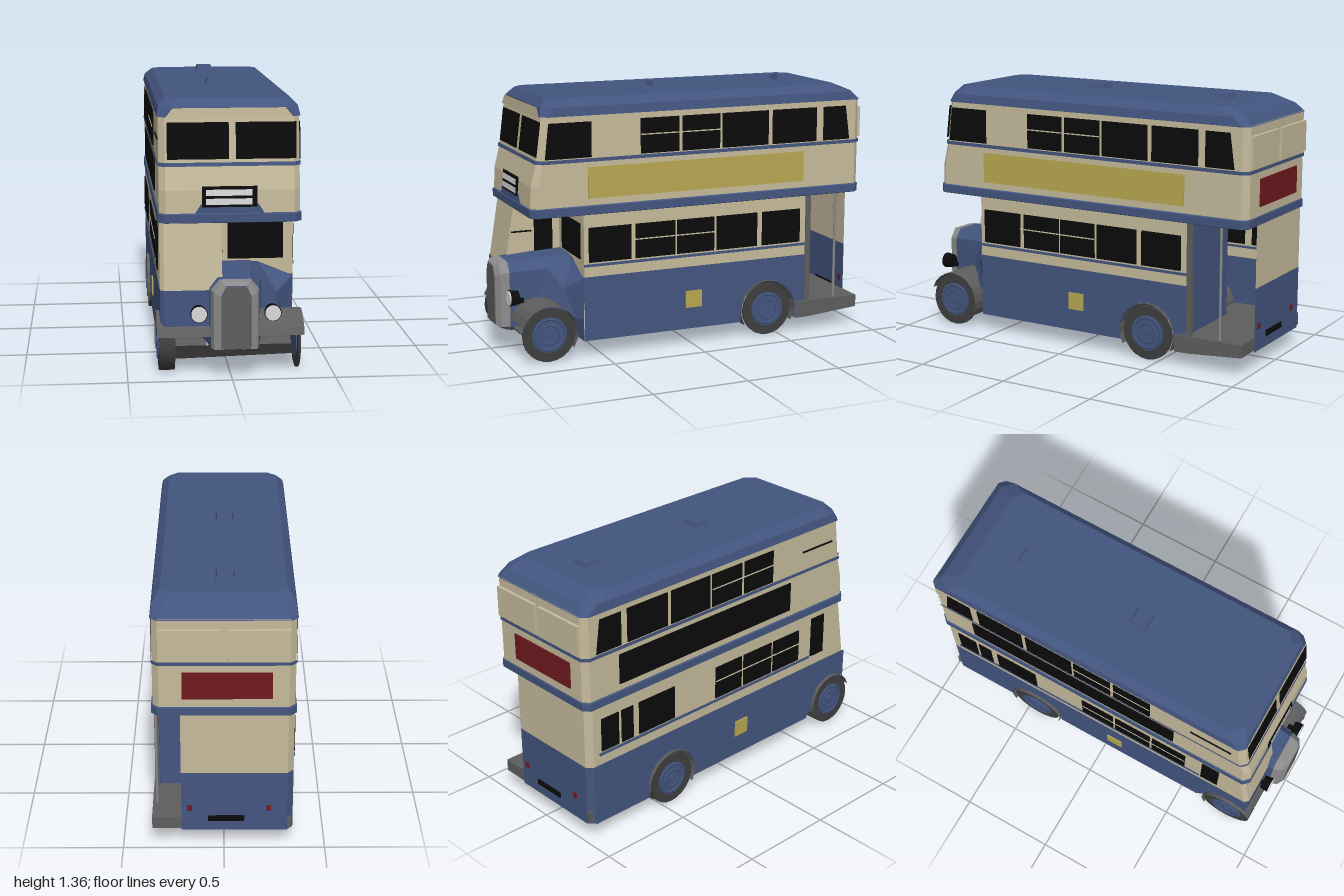
import * as THREE from 'three';

const mat = (name, color) => {
  const m = new THREE.MeshStandardMaterial({ color, side: THREE.DoubleSide });
  m.name = name;
  return m;
};

export function createModel() {
  const blue = mat('blue paint', 0x43557f), cream = mat('cream paint', 0xc6bb9c);
  const black = mat('black glass', 0x0b0b0b), grey = mat('mudguard grey', 0x5e5e5e);
  const tyreGrey = mat('tyre rubber', 0x3e3e3e), steel = mat('steel grey', 0x8c8c8c);
  const white = mat('lamp white', 0xdadada), yellow = mat('yellow panel', 0xb8a852);
  const red = mat('red panel', 0x701a1e);

  const bus = new THREE.Group();
  bus.name = 'doubleDeckBus';
  const add = (name, geo, m, x = 0, y = 0, z = 0) => {
    const mesh = new THREE.Mesh(geo, m);
    mesh.name = name;
    mesh.position.set(x, y, z);
    bus.add(mesh);
    return mesh;
  };
  const box = (name, m, x0, x1, y0, y1, z0, z1) => add(name,
    new THREE.BoxGeometry(x1 - x0, y1 - y0, Math.abs(z1 - z0)), m, (x0 + x1) / 2, (y0 + y1) / 2, (z0 + z1) / 2);

  // Flat-faced skin through rings of [x, y, z] points
  const loft = (name, m, rings, closed = false, cap = false) => {
    const pos = [], n = rings[0].length;
    for (let r = 0; r + 1 < rings.length; r++) {
      for (let i = 0; i < (closed ? n : n - 1); i++) {
        const j = (i + 1) % n, a = rings[r][i], b = rings[r][j], c = rings[r + 1][j], d = rings[r + 1][i];
        pos.push(...a, ...b, ...c, ...a, ...c, ...d);
      }
    }
    const top = rings[rings.length - 1];
    if (cap) for (let i = 1; i + 1 < n; i++) pos.push(...top[0], ...top[i], ...top[i + 1]);
    const g = new THREE.BufferGeometry();
    g.setAttribute('position', new THREE.Float32BufferAttribute(pos, 3));
    g.computeVertexNormals();
    return add(name, g, m);
  };

  // Flat panel at a given x, drawn as a shape in (z, y)
  const sidePanel = (name, m, x, shape) => {
    const g = new THREE.ShapeGeometry(shape, 12), p = g.attributes.position;
    for (let i = 0; i < p.count; i++) p.setXYZ(i, x, p.getY(i), p.getX(i));
    g.computeVertexNormals();
    return add(name, g, m);
  };
  const poly = (pts) => new THREE.Shape(pts.map(([a, b]) => new THREE.Vector2(a, b)));
  const W = 0.34;
  const plate = (name, m, side, z0, z1, y0, y1) =>
    box(name, m, side * (W + 0.002) - 0.004, side * (W + 0.002) + 0.004, y0, y1, z0, z1);

  // ---- Upper deck and roof ----
  const ring = (y, w, zf, zb, c = 0.03) => [
    [w, y, zf - c], [w - c, y, zf], [-w + c, y, zf], [-w, y, zf - c],
    [-w, y, zb + c], [-w + c, y, zb], [w - c, y, zb], [w, y, zb + c]];
  loft('upperFloor', cream, [ring(0.744, W, 0.86, -0.975), ring(0.745, W, 0.86, -0.975)], true, true);
  loft('waistBand', blue, [ring(0.742, 0.342, 0.868, -0.98), ring(0.745, 0.347, 0.876, -0.987),
    ring(0.785, 0.347, 0.876, -0.987), ring(0.79, W, 0.87, -0.983)], true);
  const profile = [[0.79, 0.87], [0.9, 0.865], [1.02, 0.835], [1.25, 0.805]];
  loft('upperWalls', cream, profile.map(([y, zf]) => ring(y, W, zf, -0.983)), true);
  loft('windowSillBand', blue, [ring(1.012, W + 0.005, 0.843, -0.987), ring(1.03, W + 0.005, 0.839, -0.987)], true);
  loft('roof', blue, [ring(1.22, 0.342, 0.805, -0.986), ring(1.245, 0.346, 0.812, -0.986),
    ring(1.29, 0.338, 0.8, -0.945, 0.05), ring(1.33, 0.3, 0.765, -0.85, 0.05)].slice(1), true, true);
  for (const z of [0.055, -0.68]) {
    const g = new THREE.CylinderGeometry(0.055, 0.068, 0.03, 4).toNonIndexed();
    g.rotateY(Math.PI / 4);
    g.computeVertexNormals();
    add('roofVent', g, blue, -0.007, 1.342, z);
  }

  // Panels that follow the sloping front
  const frontZ = (y) => {
    for (let i = 0; i < 3; i++) {
      const [ya, za] = profile[i], [yb, zb] = profile[i + 1];
      if (y <= yb) return za + (zb - za) * (y - ya) / (yb - ya);
    }
    return 0.803;
  };
  const frontPanel = (name, m, x0, x1, y0, y1, lift = 0.004, inset = 0) => loft(name, m, [
    [[x0, y0, frontZ(y0) + lift], [x1, y0, frontZ(y0) + lift]],
    [[x0 + inset, y1, frontZ(y1) + lift], [x1 - inset, y1, frontZ(y1) + lift]]]);
  frontPanel('upperFrontWindow', black, -0.3, -0.003, 1.045, 1.22);
  frontPanel('upperFrontWindow', black, 0.03, 0.322, 1.045, 1.22);
  frontPanel('frontBrow', cream, -0.31, 0.31, 1.24, 1.288, 0.01, 0.04);
  frontPanel('destinationSurround', blue, -0.17, 0.165, 0.79, 0.835, 0.005, 0.03);
  frontPanel('destinationBox', black, -0.135, 0.13, 0.82, 0.92, 0.009);
  for (const y of [0.832, 0.875]) frontPanel('destinationBlind', white, -0.118, 0.106, y, y + 0.03, 0.013);

  // ---- Side windows and panels ----
  const upper = [[0.29, 0.08], [0.06, -0.15], [-0.165, -0.43], [-0.455, -0.715]];
  for (const s of [1, -1]) {
    for (const [a, b] of upper) plate('upperWindow', black, s, a, b, 1.035, 1.215);
    sidePanel('upperRearWindow', black, s * (W + 0.005), poly([[-0.755, 1.035], [-0.915, 1.035], [-0.89, 1.215], [-0.755, 1.215]]));
    box('windowBar', cream, s * 0.347 - 0.002, s * 0.347 + 0.002, 1.13, 1.136, 0.29, -0.15);
    plate('sillBand', blue, s, 0.6, s > 0 ? -0.66 : -0.91, 0.473, 0.486);
  }
  sidePanel('upperFrontSideWindow', black, W + 0.005, poly([[0.555, 1.035], [0.8, 1.035], [0.78, 1.215], [0.555, 1.215]]));
  plate('cabVentLine', black, -1, 0.52, 0.75, 1.13, 1.138);
  for (const [a, b] of [[0.575, 0.345], [0.32, 0.1], [0.09, -0.12], [-0.135, -0.37], [-0.4, -0.625]])
    plate('lowerWindow', black, 1, a, b, 0.495, 0.675);
  for (const [a, b] of [[0.51, 0.31], [0.295, 0.085], [0.07, -0.12], [-0.41, -0.65], [-0.69, -0.765], [-0.785, -0.895]])
    plate('lowerWindow', black, -1, a, b, 0.495, 0.675);
  box('windowBar', cream, 0.345, 0.349, 0.592, 0.598, 0.345, -0.12);
  box('windowBar', cream, -0.349, -0.345, 0.592, 0.598, 0.51, -0.12);
  plate('sideBoard', yellow, 1, 0.575, -0.64, 0.825, 0.985);
  plate('sideBoard', black, -1, 0.43, -0.77, 0.825, 0.985);
  plate('fillerPanel', yellow, 1, 0.04, -0.05, 0.2, 0.29);
  plate('fillerPanel', yellow, -1, 0.12, 0.03, 0.2, 0.29);

  // ---- Lower deck walls, with wheel arches cut out ----
  const wallShape = (rear, cab) => {
    const s = new THREE.Shape();
    s.moveTo(rear, 0.085);
    s.lineTo(-0.59, 0.085);
    s.absarc(-0.435, 0.14, 0.155, Math.PI, 0, true);
    s.lineTo(-0.28, 0.085);
    s.lineTo(0.6, 0.085);
    if (cab) {
      s.lineTo(0.64, 0.145);
      s.absarc(0.79, 0.145, 0.15, Math.PI, 0.75, true);
      s.lineTo(0.9, 0.42);
    } else s.lineTo(0.6, 0.42);
    s.lineTo(rear, 0.42);
    return s;
  };
  sidePanel('lowerSide', blue, W, wallShape(-0.66, false));
  sidePanel('lowerSide', blue, -W, wallShape(-0.945, true));
  sidePanel('windowSide', cream, W, poly([[0.6, 0.42], [0.6, 0.745], [-0.66, 0.745], [-0.66, 0.42]]));
  sidePanel('windowSide', cream, -W, poly([[0.6, 0.42], [0.6, 0.745], [-0.945, 0.745], [-0.945, 0.42]]));
  const rear = (y) => [[-W, y, -0.945], [-0.31, y, -0.977], [0.21, y, -0.977]];
  loft('rearLower', blue, [rear(0.09), rear(0.42)]);
  loft('rearUpper', cream, [rear(0.42), rear(0.745)]);

  // Front bulkhead and saloon window
  box('bulkhead', cream, -W, W, 0.42, 0.745, 0.595, 0.6);
  add('bulkheadLower', new THREE.ShapeGeometry(poly([[-W, 0.085], [W, 0.085], [W, 0.415], [0.16, 0.49], [-0.04, 0.49], [-W, 0.42]])), blue, 0, 0, 0.604);
  box('bulkheadWindow', black, 0.012, 0.29, 0.505, 0.69, 0.599, 0.605);

  // Rear entrance
  box('entranceBulkhead', blue, -0.1, W, 0.1, 0.745, -0.665, -0.66);
  box('entrancePillar', grey, 0.325, 0.345, 0.16, 0.745, -0.69, -0.66);
  const deck = (z, y) => [[-0.33, y, z], [0.355, y, z], [0.355, 0.165, z], [-0.33, 0.165, z]];
  loft('platform', grey, [deck(-0.6, 0.075), deck(-0.67, 0.075), deck(-0.975, 0.1)], true, true);
  add('grabPole', new THREE.CylinderGeometry(0.007, 0.007, 0.6, 8), steel, 0.333, 0.45, -0.845);

  // Rear details
  box('rearBoard', red, -0.23, 0.2, 0.835, 0.975, -0.989, -0.98);
  for (const x of [-0.31, 0.015]) box('rearWindowFrame', cream, x, x + 0.295, 1.04, 1.2, -0.999, -0.98);
  for (const x of [-0.22, 0.17]) box('tailLamp', red, x - 0.012, x + 0.012, 0.205, 0.235, -0.983, -0.975);
  box('rearPlate', black, -0.1, 0.08, 0.145, 0.175, -0.983, -0.975);

  // ---- Half cab ----
  const cab = (y, z) => [[-W, y, 0.6], [-W, y, z - 0.02], [-0.32, y, z], [-0.04, y, z], [-0.04, y, 0.6]];
  loft('cab', cream, [cab(0.42, 0.9), cab(0.745, 0.848)]);
  loft('cabFrontLower', blue, [cab(0.21, 0.9), cab(0.42, 0.9)].map((r) => r.slice(1, 4)));
  box('cabInnerWindow', black, -0.044, -0.036, 0.48, 0.71, 0.74, 0.64);
  box('cabInnerLine', black, -0.044, -0.036, 0.595, 0.603, 0.865, 0.755);
  plate('cabSideWindow', black, -1, 0.71, 0.61, 0.48, 0.71);

  // ---- Bonnet and radiator ----
  const CX = 0.018;
  const hood = (z, w, top, low = 0.145) => [[-w, low], [-w, top - 0.05], [-w * 0.65, top],
    [w * 0.65, top], [w, top - 0.05], [w, low]].map(([x, y]) => [CX + x, y, z]);
  loft('bonnet', blue, [hood(0.6, 0.165, 0.495), hood(0.75, 0.145, 0.49), hood(0.93, 0.115, 0.478)], true);
  loft('radiatorShell', steel, [hood(0.93, 0.117, 0.48), hood(0.975, 0.105, 0.475), hood(0.995, 0.072, 0.462, 0.15)], true);
  loft('radiatorGrille', grey, [hood(0.994, 0.07, 0.458, 0.15), hood(0.998, 0.068, 0.456, 0.152)], true, true);
  loft('scuttle', blue, [
    [[0.17, 0.48, 0.604], [0.155, 0.45, 0.74], [0.145, 0.3, 0.8]],
    [[W, 0.415, 0.604], [0.25, 0.35, 0.68], [0.25, 0.28, 0.7]],
    [[W, 0.2, 0.604], [0.3, 0.2, 0.63], [0.25, 0.25, 0.7]]]);
  for (const x of [-0.157, 0.199]) {
    add('headlampBody', new THREE.CylinderGeometry(0.042, 0.036, 0.045, 14).rotateX(Math.PI / 2), black, x, 0.315, 0.93);
    add('headlampLens', new THREE.CylinderGeometry(0.038, 0.038, 0.008, 14).rotateX(Math.PI / 2), white, x, 0.315, 0.955);
    box('headlampBracket', black, x - 0.01, x + 0.01, 0.285, 0.31, 0.88, 0.93);
  }

  // ---- Mudguards, arch and front apron ----
  const arch = (name, x0, x1, z, r, from, to) => {
    const pts = (x) => Array.from({ length: 13 }, (_, i) => {
      const a = from + (to - from) * i / 12;
      return [x, 0.145 + r * Math.sin(a), z + r * Math.cos(a)];
    });
    loft(name, grey, [pts(x0), pts(x1)]);
  };
  arch('frontMudguard', 0.13, 0.357, 0.79, 0.148, 0.35, Math.PI + 0.55);
  arch('frontMudguard', -0.357, -0.1, 0.79, 0.148, 0.35, Math.PI + 0.55);
  arch('rearWheelArch', -0.355, 0.355, -0.435, 0.158, -0.5, Math.PI + 0.5);
  loft('frontApron', grey, [[[-0.27, 0.155, 0.93], [0.3, 0.155, 0.93]], [[-0.27, 0.07, 0.86], [0.31, 0.085, 0.86]],
    [[-0.27, 0.06, 0.7], [0.31, 0.06, 0.7]]]);

  // ---- Wheels ----
  const disc = (r, w, n = 24) => new THREE.CylinderGeometry(r, r, w, n).rotateZ(Math.PI / 2);
  for (const z of [0.79, -0.435]) for (const s of [1, -1]) {
    const near = s > 0;
    // The entrance side carries slim tyres, the driver's side wide ones
    const wide = near ? 0.012 : 0.075, x = near ? 0.333 : -0.307;
    add('tyre', disc(0.14, wide), tyreGrey, x, 0.14, z);
    const face = near ? 0.341 : -0.346;
    add('wheelDisc', disc(0.092, near ? 0.022 : 0.082), blue, near ? 0.333 : -0.307, 0.142, z);
    add('wheelRim', new THREE.TorusGeometry(0.08, 0.008, 6, 24).rotateY(Math.PI / 2), blue, face, 0.142, z);
    add('wheelRing', new THREE.TorusGeometry(0.05, 0.007, 6, 20).rotateY(Math.PI / 2), blue, face, 0.142, z);
    add('hubCap', disc(0.022, 0.02, 12), blue, face, 0.142, z);
  }
  return bus;
}
